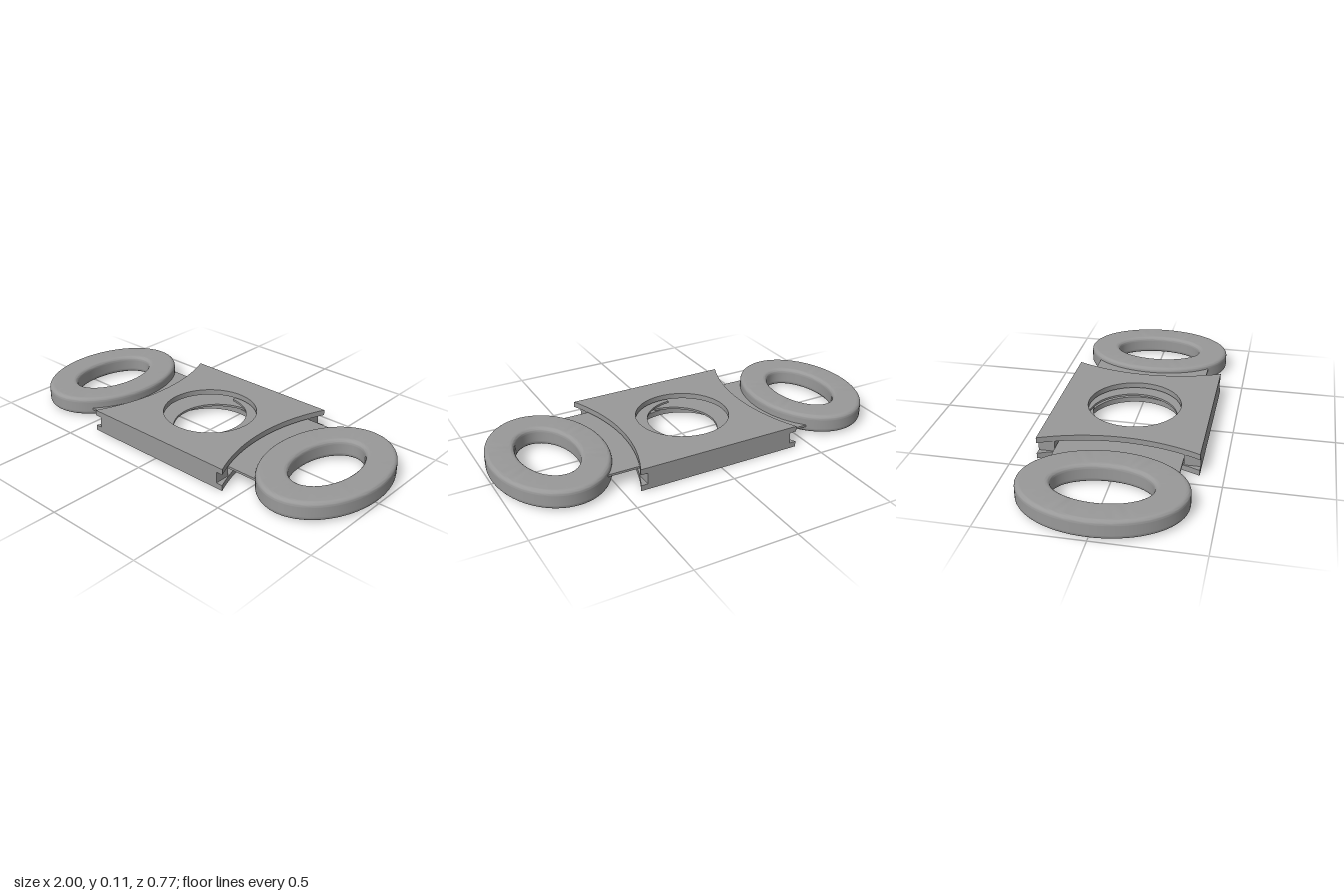
import * as THREE from 'three';
import { toCreasedNormals } from 'three/addons/utils/BufferGeometryUtils.js';

const metal = new THREE.MeshStandardMaterial({ color: 0x999999 });
metal.name = 'grey metal';

function part(name, geometry) {
  const mesh = new THREE.Mesh(geometry, metal);
  mesh.name = name;
  return mesh;
}

// Flat outline in x and z, thickened upward from y0 to y1
function slab(shape, y0, y1) {
  const g = new THREE.ExtrudeGeometry(shape, { depth: y1 - y0, bevelEnabled: false, curveSegments: 48 });
  g.rotateX(-Math.PI / 2);
  g.translate(0, y0, 0);
  return toCreasedNormals(g, 0.5);
}

// Body plate with concave ends and a round opening
function plateShape() {
  const s = new THREE.Shape();
  const R = 0.924, cx = 1.264, a = Math.asin(0.387 / R);
  s.absarc(cx, 0, R, Math.PI + a, Math.PI - a, true);
  s.absarc(-cx, 0, R, a, -a, true);
  s.closePath();
  const hole = new THREE.Path();
  hole.absarc(0, 0, 0.234, 0, Math.PI * 2, true);
  s.holes.push(hole);
  return s;
}

// Blade with a concave cutting edge at its inner end
function bladeShape() {
  const s = new THREE.Shape();
  const a = 1.52;
  s.moveTo(0.56, -0.305);
  s.lineTo(0.56, 0.305);
  s.lineTo(-0.04, 0.305);
  s.absarc(-0.051, 0, 0.221, a, -a, true);
  s.lineTo(-0.04, -0.305);
  s.closePath();
  return s;
}

// Oval finger ring: a rounded section swept between two ellipses
function ringGeometry() {
  const w = 0.14, y0 = 0.01, y1 = 0.103, r = 0.02;
  const corners = [
    [w - r, y0 + r, -Math.PI / 2], [w - r, y1 - r, 0],
    [r, y1 - r, Math.PI / 2], [r, y0 + r, Math.PI],
  ];
  const pts = [];
  for (const [u, v, start] of corners) {
    // Extra points beside each corner keep the flat faces flat
    const e = 0.003, c = Math.cos(start), s = Math.sin(start);
    pts.push(new THREE.Vector2(1 + (u + r * c + e * s) / w, v + r * s - e * c));
    for (let i = 0; i <= 6; i++) {
      const a = start + (i / 6) * Math.PI / 2;
      pts.push(new THREE.Vector2(1 + (u + r * Math.cos(a)) / w, v + r * Math.sin(a)));
    }
    pts.push(new THREE.Vector2(1 + (u - r * s - e * c) / w, v + r * c - e * s));
  }
  pts.push(pts[0].clone());
  const g = new THREE.LatheGeometry(pts, 72);
  const p = g.attributes.position;
  for (let i = 0; i < p.count; i++) {
    const x = p.getX(i), z = p.getZ(i), len = Math.hypot(x, z), t = len - 1;
    p.setX(i, (x / len) * (0.14 + 0.14 * t));
    p.setZ(i, (z / len) * (0.23 + 0.157 * t));
  }
  return toCreasedNormals(g, 0.8);
}

export function createModel() {
  const model = new THREE.Group();
  model.name = 'doubleBladeCutter';

  // Housing: two plates held apart by side rails
  const housing = new THREE.Group();
  housing.name = 'housing';
  housing.add(part('bottomPlate', slab(plateShape(), 0, 0.028)));
  housing.add(part('topPlate', slab(plateShape(), 0.084, 0.112)));
  for (const side of [-1, 1]) {
    const rail = part('sideRail', new THREE.BoxGeometry(0.78, 0.056, 0.079));
    rail.position.set(0, 0.056, side * 0.3475);
    housing.add(rail);
  }
  model.add(housing);

  // Sliding halves: a blade and its finger ring on each side
  const ring = ringGeometry();
  for (const [name, turn, y] of [['leftSlider', 0, 0.067], ['rightSlider', Math.PI, 0.039]]) {
    const slider = new THREE.Group();
    slider.name = name;
    slider.add(part('blade', slab(bladeShape(), y, y + 0.011)));
    const fingerRing = part('fingerRing', ring);
    fingerRing.position.x = 0.72;
    slider.add(fingerRing);
    slider.rotation.y = turn;
    model.add(slider);
  }
  return model;
}
